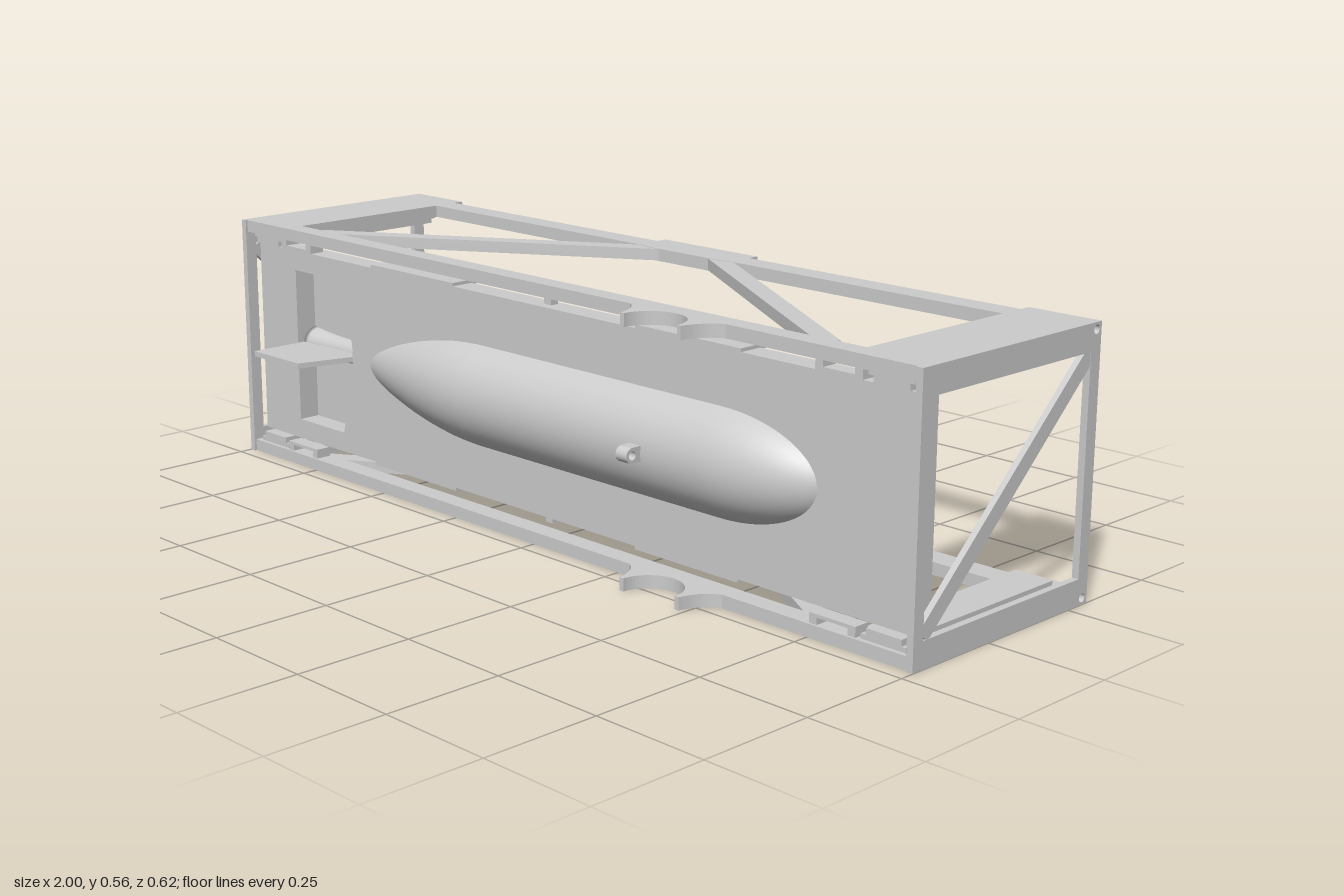
import * as THREE from 'three';

const H = 0.555, T = 0.027;      // frame height, plate thickness
const CY = 0.277, CZ = 0.134;    // body axis
const mat = new THREE.MeshStandardMaterial({ color: 0xcccccc });

function add(parent, name, geo) {
  const m = new THREE.Mesh(geo, mat);
  m.name = name;
  parent.add(m);
  return m;
}

// box from min/max pairs
function box(x0, x1, y0, y1, z0, z1) {
  return new THREE.BoxGeometry(x1 - x0, y1 - y0, z1 - z0)
    .translate((x0 + x1) / 2, (y0 + y1) / 2, (z0 + z1) / 2);
}

const poly = pts => new THREE.Shape(pts.map(p => new THREE.Vector2(...p)));
const rect = (a, b, c, d) => poly([[a, c], [b, c], [b, d], [a, d]]);
const extrude = (shape, depth) =>
  new THREE.ExtrudeGeometry(shape, { depth, bevelEnabled: false, curveSegments: 16 });

// (z, y) shape swept from x0 to x1
const alongX = (shape, x0, x1) => extrude(shape, x1 - x0).rotateY(-Math.PI / 2).translate(x1, 0, 0);
// (x, z) shape swept from y0 to y1
const alongY = (shape, y0, y1) => extrude(shape, y1 - y0).rotateX(Math.PI / 2).translate(0, y1, 0);

// flat strip of given width between two points
function strip(a, b, w) {
  const dx = b[0] - a[0], dy = b[1] - a[1], l = Math.hypot(dx, dy);
  const nx = -dy / l * w / 2, ny = dx / l * w / 2;
  return poly([[a[0] + nx, a[1] + ny], [a[0] - nx, a[1] - ny], [b[0] - nx, b[1] - ny], [b[0] + nx, b[1] + ny]]);
}

function pinHole(shape, z, y) {
  shape.holes.push(new THREE.Path().absarc(z, y, 0.009, 0, Math.PI * 2, true));
  return shape;
}

// one long face of the frame, drawn for the top (top = true) or the bottom
function longFace(top) {
  const g = new THREE.Group();
  g.name = top ? 'topFrame' : 'bottomFrame';
  const Y = y => top ? y : H - y;
  const span = (a, b) => [Math.min(Y(a), Y(b)), Math.max(Y(a), Y(b))];
  const bx = (name, x0, x1, y0, y1, z0, z1) => add(g, name, box(x0, x1, ...span(y0, y1), z0, z1));
  const [p0, p1] = span(H - T, H);

  bx('frontRail', -0.84, 0.84, H - T, H, 0.17, 0.215);
  bx('backRail', -0.84, 0.84, H - T, H, -0.285, -0.228);

  // drilled lugs along the back edge
  for (const [a, b] of [[-0.985, -0.835], [-0.14, 0.135], [0.835, 0.985]]) {
    const s = pinHole(rect(-0.31, -0.28, p0, p1), -0.295, Y(0.541));
    add(g, 'backLug', alongX(s, a, b));
  }
  add(g, 'centreGusset', alongY(poly([[-0.14, -0.23], [0.135, -0.23], [0.09, -0.222], [-0.095, -0.222]]), p0, p1));

  for (const s of [-1, 1]) {
    const sx = (a, b) => s > 0 ? [a, b] : [-b, -a];
    bx('endPlate', ...sx(0.835, 0.985), H - T, H, -0.28, 0.215);
    add(g, 'braceDiagonal', alongY(strip([s * 0.08, -0.243], [s * 0.755, 0.178], 0.042), p0 + 0.001, p1 - 0.001));
    // stiffener under the end plate
    bx('stiffenerBase', ...sx(0.868, 0.972), 0.518, H - T, -0.25, 0.205);
    bx('stiffenerRidge', ...sx(0.88, 0.962), 0.505, 0.518, -0.25, 0.205);
    // loop handle under the front rail
    bx('handleBar', ...sx(0.75, 0.86), 0.507, 0.514, 0.175, 0.21);
    bx('handlePost', ...sx(0.75, 0.768), 0.514, H - T, 0.175, 0.21);
    bx('handlePost', ...sx(0.842, 0.86), 0.514, H - T, 0.175, 0.21);
    // thin shelf on the panel edge
    bx('shelfPlate', ...(s > 0 ? [0.27, 0.55] : [-0.56, -0.28]), 0.497, 0.507, 0.04, 0.188);
  }
  bx('locatingPin', -0.016, 0.004, 0.495, 0.52, 0.146, 0.166);

  // saddle with a round cradle
  const saddle = new THREE.Shape();
  saddle.moveTo(0.27, 0.21);
  saddle.quadraticCurveTo(0.315, 0.222, 0.328, 0.285);
  saddle.lineTo(0.338, 0.285);
  saddle.absarc(0.408, 0.285, 0.07, Math.PI, Math.PI * 2, false);
  saddle.lineTo(0.488, 0.285);
  saddle.quadraticCurveTo(0.5, 0.222, 0.55, 0.21);
  add(g, 'saddle', alongY(saddle, p0, p1));
  return g;
}

// end frame with one diagonal, leaning by side
function endFrame(s) {
  const g = new THREE.Group();
  g.name = s > 0 ? 'leftEndFrame' : 'rightEndFrame';
  const x = s > 0 ? [0.985, 1] : [-1, -0.985];
  const shape = rect(-0.31, 0.22, 0, H);
  shape.holes.push(rect(-0.28, 0.193, 0.055, 0.5));
  pinHole(shape, -0.295, 0.541);
  pinHole(shape, -0.295, 0.014);
  add(g, 'endRim', alongX(shape, ...x));
  const Y = y => s > 0 ? y : H - y;
  add(g, 'endDiagonal', alongX(strip([0.192, Y(0.062)], [-0.282, Y(0.497)], 0.034), x[0] + 0.001, x[1] - 0.001));
  return g;
}

// trapezoid pair of fins about a centre line
const finShape = (c, h) => poly([
  [-0.84, c - h], [-0.675, c - h], [-0.635, c - 0.035],
  [-0.635, c + 0.035], [-0.675, c + h], [-0.84, c + h]]);

function torpedo() {
  const g = new THREE.Group();
  g.name = 'torpedo';
  const lathe = pts => new THREE.LatheGeometry(pts, 64).rotateZ(-Math.PI / 2).translate(0, CY, CZ);

  // tapered tail, straight middle, rounded nose
  const taper = new THREE.SplineCurve([[-0.64, 0.03], [-0.57, 0.054], [-0.48, 0.08], [-0.38, 0.103], [-0.28, 0.118], [-0.2, 0.123]]
    .map(p => new THREE.Vector2(p[1], p[0]))).getPoints(30);
  const nose = [];
  for (let i = 0; i <= 24; i++) {
    const a = i / 24 * Math.PI / 2;
    nose.push(new THREE.Vector2(Math.max(0.123 * Math.cos(a), 0.0001), 0.5 + 0.27 * Math.sin(a)));
  }
  add(g, 'hull', lathe([...taper, ...nose]));

  // flared tail tube
  const flare = new THREE.SplineCurve([[-0.84, 0.038], [-0.77, 0.031], [-0.7, 0.028], [-0.64, 0.03]]
    .map(p => new THREE.Vector2(p[1], p[0]))).getPoints(12);
  add(g, 'tailTube', lathe([new THREE.Vector2(0.0001, -0.84), ...flare]));

  add(g, 'verticalFin', extrude(finShape(CY, 0.178), 0.01).translate(0, 0, CZ - 0.006));
  add(g, 'horizontalFin', alongY(finShape(0.13, 0.18), CY - 0.006, CY + 0.006));

  // lifting eye
  const eye = new THREE.Shape();
  eye.moveTo(0.25, CY - 0.016);
  eye.lineTo(0.278, CY - 0.016);
  eye.absarc(0.278, CY, 0.016, -Math.PI / 2, Math.PI / 2, false);
  eye.lineTo(0.25, CY + 0.016);
  eye.holes.push(new THREE.Path().absarc(0.278, CY, 0.009, 0, Math.PI * 2, true));
  add(g, 'liftingEye', alongX(eye, 0.325, 0.355));
  return g;
}

export function createModel() {
  const model = new THREE.Group();
  model.name = 'torpedoFrame';
  model.add(longFace(true), longFace(false), endFrame(1), endFrame(-1));

  // mounting panel with the fin cutout
  const panel = rect(-0.975, 0.97, 0.055, 0.5);
  panel.holes.push(finShape(CY, 0.177));
  add(model, 'mountingPanel', extrude(panel, 0.053).translate(0, 0, 0.135));

  model.add(torpedo());
  return model;
}
